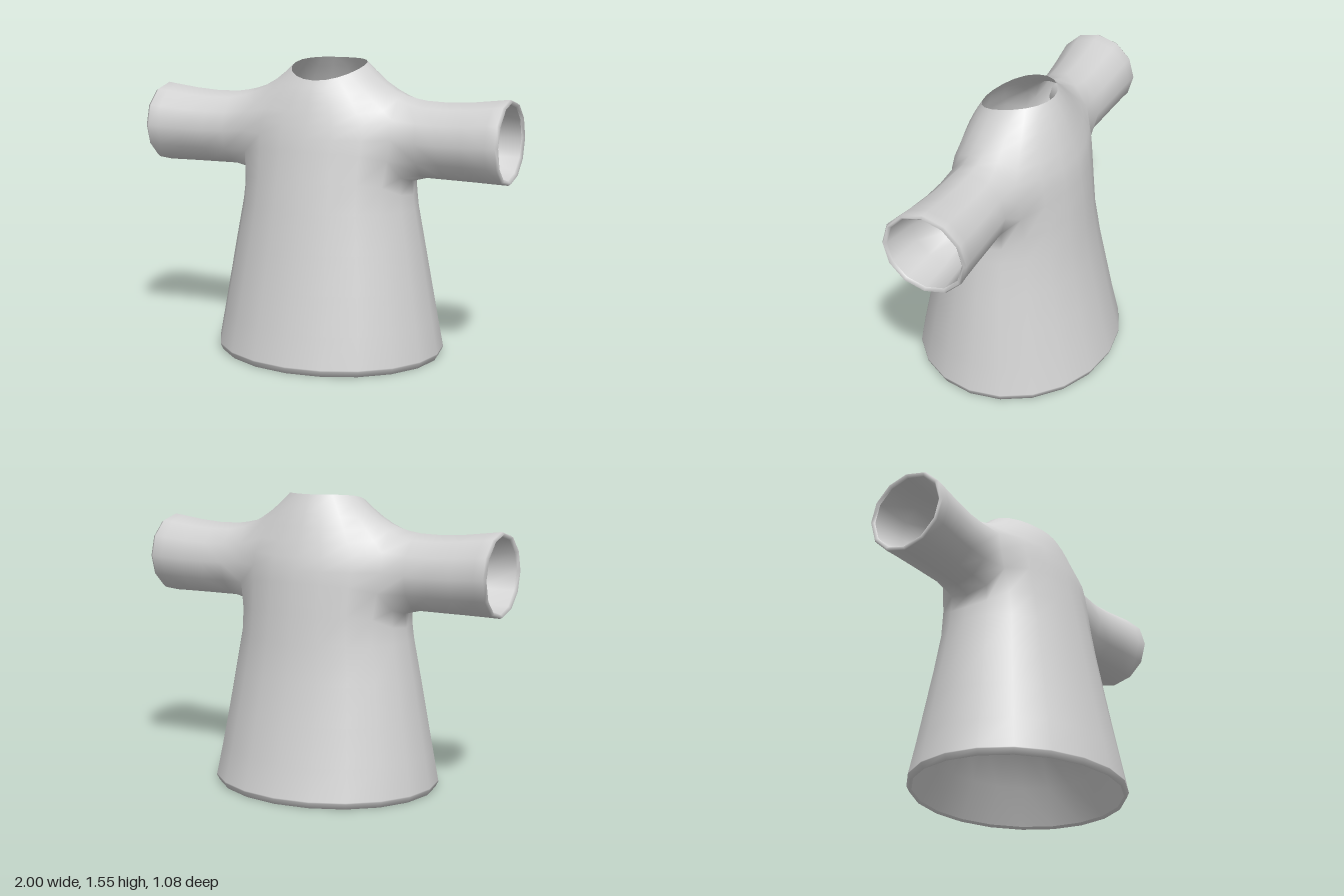
import * as THREE from 'three';

const N = 20;                       // columns around the body
const M = 12;                       // columns around a sleeve
const fabric = new THREE.MeshStandardMaterial({ color: 0xd2d2d2, side: THREE.DoubleSide });
fabric.name = 'plain grey fabric';

// Body outline by height: y, half width, front depth, back depth
const profile = [
  [0, 0.605, 0.525, 0.525], [0.03, 0.62, 0.54, 0.54], [0.2, 0.59, 0.505, 0.495],
  [0.4, 0.555, 0.462, 0.45], [0.6, 0.52, 0.422, 0.405], [0.8, 0.483, 0.384, 0.373],
  [0.95, 0.46, 0.355, 0.36], [1.17, 0.44, 0.31, 0.331], [1.28, 0.43, 0.28, 0.303],
  [1.4, 0.41, 0.235, 0.26],
];

function bodyPoint(k, y, flare = 1) {
  let i = 1;
  while (i < profile.length - 1 && profile[i][0] < y) i++;
  const p = profile[i - 1], q = profile[i];
  const t = (y - p[0]) / (q[0] - p[0]);
  const at = (j) => p[j] + (q[j] - p[j]) * t;
  const a = (k / N) * Math.PI * 2, c = Math.cos(a);
  return new THREE.Vector3(Math.sin(a) * at(1) * flare, y, c * (c > 0 ? at(2) : at(3)));
}

// Tilted, gently curved neck opening
function neckPoint(k) {
  const a = (k / N) * Math.PI * 2, c = Math.cos(a);
  return new THREE.Vector3(0.2 * Math.sin(a), 1.53 - 0.045 * c - 0.025 * c * c, 0.01 + 0.19 * c);
}

// Ellipse in the horizontal plane
function flatRing(y, rx, rz) {
  return Array.from({ length: N }, (_, k) => {
    const a = (k / N) * Math.PI * 2;
    return new THREE.Vector3(rx * Math.sin(a), y, rz * Math.cos(a));
  });
}

// Ellipse around a sleeve
function sleeveRing(side, x, cy, cz, ry, rz) {
  return Array.from({ length: M }, (_, i) => {
    const a = (i / M) * Math.PI * 2;
    return new THREE.Vector3(side * x, cy + ry * Math.sin(a), cz - rz * Math.cos(a));
  });
}

function makeMesh(name, points, index) {
  const geometry = new THREE.BufferGeometry().setFromPoints(points);
  geometry.setIndex(index);
  geometry.computeVertexNormals();
  const mesh = new THREE.Mesh(geometry, fabric);
  mesh.name = name;
  return mesh;
}

function quad(index, a, b, c, d, flip) {
  if (flip) index.push(a, c, b, a, d, c);
  else index.push(a, b, c, a, c, d);
}

// Cup through equal rings, closed at its last ring
function cup(name, rings) {
  const n = rings[0].length, points = rings.flat(), index = [];
  for (let r = 0; r < rings.length - 1; r++)
    for (let i = 0; i < n; i++) {
      const j = (i + 1) % n;
      quad(index, r * n + i, r * n + j, (r + 1) * n + j, (r + 1) * n + i);
    }
  const last = (rings.length - 1) * n, centre = new THREE.Vector3();
  rings[rings.length - 1].forEach((p) => centre.addScaledVector(p, 1 / n));
  points.push(centre);
  for (let i = 0; i < n; i++) index.push(last + i, last + ((i + 1) % n), points.length - 1);
  return makeMesh(name, points, index);
}

function makeShirt() {
  const points = [], index = [];
  const fromSide = (k) => Math.abs((k % 10) - 5);
  const addRow = (pointAt) => { for (let k = 0; k < N; k++) points.push(pointAt(k, fromSide(k))); };

  // Heights and widening around the armholes, from the side seam to mid chest
  const bottom = [0.945, 0.975, 1.07, 1.1, 1.11, 1.11];
  const top = [1.372, 1.352, 1.275, 1.25, 1.24, 1.24];
  const bottomFlare = [1.01, 1.03, 1.12, 1.08, 1.03, 1];
  const middleFlare = [1, 1, 1.19, 1.11, 1.05, 1];
  const topFlare = [1.18, 1.18, 1.2, 1.12, 1.05, 1];

  // Body rows from the turned hem up to the neck
  points.push(...flatRing(0.012, 0.59, 0.515));
  for (const y of [0, 0.03, 0.036, 0.2, 0.4, 0.6, 0.8]) addRow((k) => bodyPoint(k, y));
  addRow((k, d) => bodyPoint(k, (0.8 + bottom[d]) / 2, 1 + (bottomFlare[d] - 1) * 0.3));
  const low = points.length / N;
  addRow((k, d) => bodyPoint(k, bottom[d], bottomFlare[d]));
  addRow((k, d) => bodyPoint(k, 1.175, middleFlare[d]));
  addRow((k, d) => bodyPoint(k, top[d], topFlare[d]));
  // Shoulders sag between neck and sleeve, chest and back swell
  const sag = [-0.032, -0.022, 0, 0.015, 0.023, 0.027];
  for (const t of [0.2, 0.4, 0.6, 0.8, 1])
    addRow((k, d) => {
      const p = bodyPoint(k, top[d], topFlare[d]).lerp(neckPoint(k), t);
      p.y += Math.sin(Math.PI * t) * sag[d];
      return p;
    });

  // Body faces, leaving out both armholes
  const rows = points.length / N;
  for (let r = 0; r < rows - 1; r++)
    for (let k = 0; k < N; k++) {
      const armhole = (r === low || r === low + 1) && k % 10 >= 3 && k % 10 < 7;
      const j = (k + 1) % N;
      if (!armhole) quad(index, r * N + k, r * N + j, (r + 1) * N + j, (r + 1) * N + k);
    }

  // Sleeves grow out of the armhole edges: x, centre y, centre z, radius y, radius z
  const sleeve = [
    [0.55, 1.165, 0, 0.198, 0.19], [0.67, 1.163, 0.002, 0.197, 0.195],
    [0.8, 1.167, 0.006, 0.202, 0.205], [0.93, 1.174, 0.01, 0.211, 0.217],
    [0.985, 1.177, 0.01, 0.215, 0.223], [1.0, 1.177, 0.01, 0.206, 0.213],
    [0.985, 1.177, 0.01, 0.192, 0.199],
  ];
  const edge = [[7, 1], [7, 2], [6, 2], [5, 2], [4, 2], [3, 2], [3, 1], [3, 0], [4, 0], [5, 0], [6, 0], [7, 0]];
  for (const side of [1, -1]) {
    let previous = edge.map(([k, r]) => (low + r) * N + (side > 0 ? k : N - k));
    for (const ring of sleeve) {
      const start = points.length;
      points.push(...sleeveRing(side, ...ring));
      const next = previous.map((_, i) => start + i);
      for (let i = 0; i < M; i++) {
        const j = (i + 1) % M;
        quad(index, previous[i], previous[j], next[j], next[i], side < 0);
      }
      previous = next;
    }
  }
  return makeMesh('shirt', points, index);
}

export function createModel() {
  const model = new THREE.Group();
  model.name = 'shortSleevedShirt';
  model.add(makeShirt());

  // Tapering hollow above the hem, closed by a flat top
  model.add(cup('hemLining', [
    flatRing(0.012, 0.59, 0.515), flatRing(0.2, 0.5, 0.42), flatRing(0.4, 0.37, 0.31),
    flatRing(0.44, 0.22, 0.21),
  ]));

  // Tapering closed cups inside the sleeves
  for (const side of [1, -1])
    model.add(cup(side > 0 ? 'leftSleeveLining' : 'rightSleeveLining', [
      sleeveRing(side, 0.985, 1.177, 0.01, 0.192, 0.199),
      sleeveRing(side, 0.8, 1.17, 0.005, 0.175, 0.178),
      sleeveRing(side, 0.6, 1.165, 0, 0.13, 0.128),
    ]));
  return model;
}
